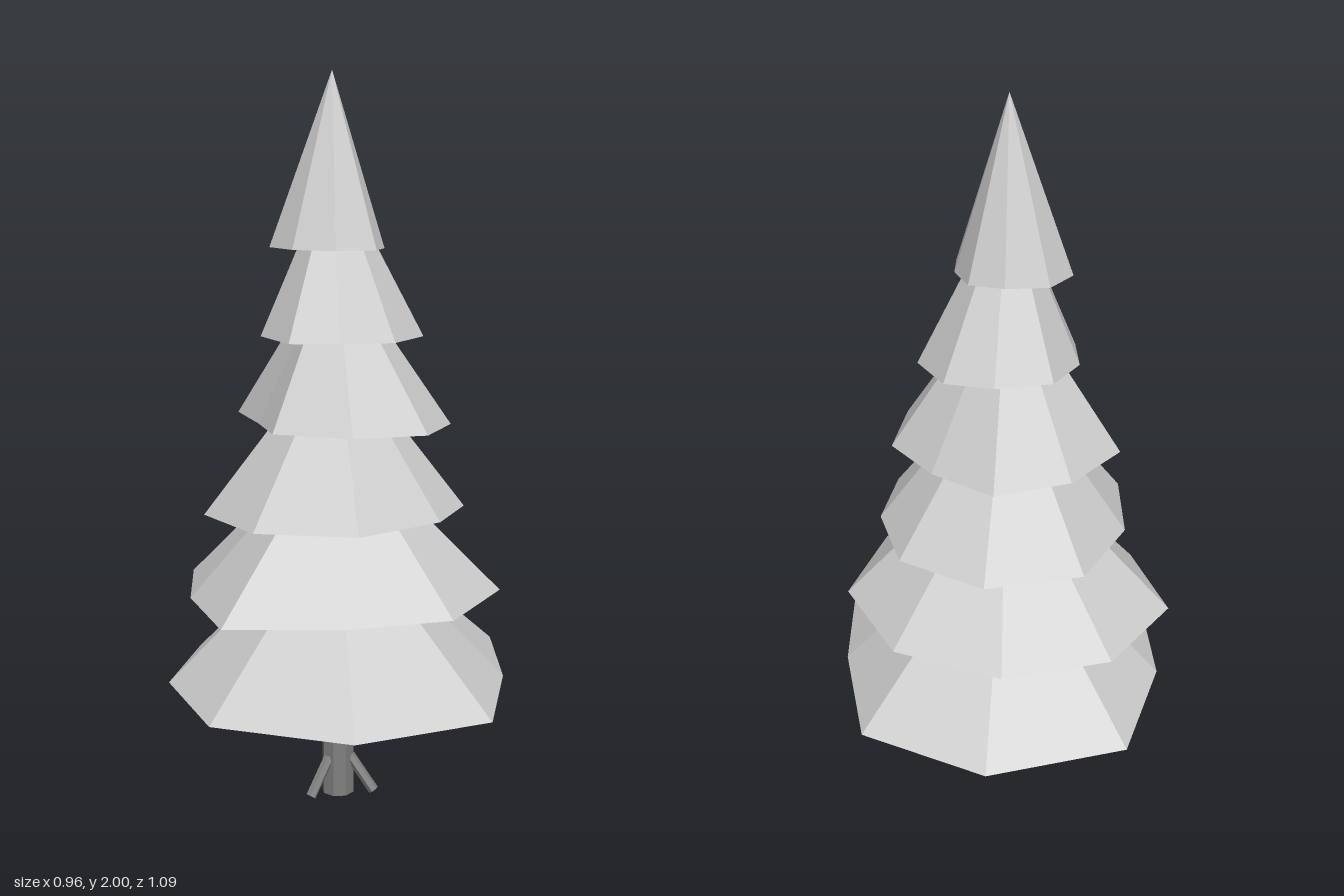
import * as THREE from 'three';

// Each tier: base height, base tilt along x and z, and its irregular nine-sided outline
// as [x, z], starting at the back and going round by the left side.
const TIERS = [
  { y: 0.365, tilt: [0, 0.015], rim: [[0, -0.545], [0.35, -0.405], [0.447, -0.065], [0.48, 0.295], [0.187, 0.54], [-0.193, 0.53], [-0.42, 0.255], [-0.46, -0.07], [-0.37, -0.415]] },
  { y: 0.6, tilt: [0.015, 0], rim: [[-0.035, -0.446], [0.262, -0.353], [0.43, -0.08], [0.363, 0.228], [0.13, 0.36], [-0.193, 0.44], [-0.377, 0.194], [-0.48, -0.08], [-0.32, -0.345]] },
  { y: 0.838, tilt: [0.02, 0.008], rim: [[0.015, -0.385], [0.248, -0.273], [0.33, -0.055], [0.31, 0.16], [0.15, 0.37], [-0.124, 0.384], [-0.33, 0.2], [-0.348, -0.057], [-0.24, -0.3]] },
  { y: 1.072, tilt: [-0.01, 0.01], rim: [[-0.005, -0.316], [0.165, -0.206], [0.29, -0.057], [0.274, 0.154], [0.107, 0.275], [-0.107, 0.275], [-0.2, 0.12], [-0.325, -0.06], [-0.2, -0.235]] },
  { y: 1.31, tilt: [-0.02, -0.04], rim: [[0, -0.21], [0.132, -0.18], [0.216, -0.037], [0.175, 0.11], [0.045, 0.185], [-0.08, 0.22], [-0.195, 0.11], [-0.21, -0.04], [-0.147, -0.172]] },
  { y: 1.545, tilt: [-0.02, -0.03], rim: [[-0.02, -0.117], [0.075, -0.09], [0.12, 0.015], [0.125, 0.115], [0.037, 0.185], [-0.08, 0.185], [-0.167, 0.113], [-0.187, -0.008], [-0.132, -0.105]] },
];
const TIER_HEIGHT = 0.455;
const TRUNK = { x: -0.01, z: 0.01, radius: 0.046 };

// Faceted cone over an irregular rim, closed underneath
function tierGeometry({ y, tilt, rim }, apexX, apexZ) {
  const apex = [apexX, y + TIER_HEIGHT, apexZ];
  const base = [apexX, y, apexZ];
  const ring = rim.map(([x, z]) => [x, y + tilt[0] * x + tilt[1] * z, z]);
  const positions = [];
  ring.forEach((p, i) => {
    const next = ring[(i + 1) % ring.length];
    positions.push(...apex, ...next, ...p, ...base, ...p, ...next);
  });
  const geometry = new THREE.BufferGeometry();
  geometry.setAttribute('position', new THREE.Float32BufferAttribute(positions, 3));
  geometry.computeVertexNormals();
  return geometry;
}

// Straight rod between two points
function rod(from, to, radius, sides, material) {
  const dir = to.clone().sub(from);
  const mesh = new THREE.Mesh(new THREE.CylinderGeometry(radius, radius, dir.length(), sides), material);
  mesh.position.copy(from).add(to).multiplyScalar(0.5);
  mesh.quaternion.setFromUnitVectors(new THREE.Vector3(0, 1, 0), dir.normalize());
  return mesh;
}

export function createModel() {
  const group = new THREE.Group();
  group.name = 'coniferTree';

  const foliage = new THREE.MeshStandardMaterial({ color: 0xcccccc, flatShading: true });
  foliage.name = 'foliageGrey';
  const bark = new THREE.MeshStandardMaterial({ color: 0x808080, flatShading: true });
  bark.name = 'barkGrey';

  // Overlapping foliage tiers, the tip leaning slightly
  TIERS.forEach((tier, i) => {
    const t = i / (TIERS.length - 1);
    const mesh = new THREE.Mesh(tierGeometry(tier, -0.01 - 0.01 * t, 0.01 + 0.017 * t), foliage);
    mesh.name = `foliageTier${i + 1}`;
    group.add(mesh);
  });

  // Trunk
  const trunk = new THREE.Mesh(new THREE.CylinderGeometry(TRUNK.radius, TRUNK.radius, 0.5, 8), bark);
  trunk.position.set(TRUNK.x, 0.25, TRUNK.z);
  trunk.name = 'trunk';
  group.add(trunk);

  // Three splayed roots
  for (let i = 0; i < 3; i++) {
    const a = (i * Math.PI * 2) / 3;
    const at = (r, y) => new THREE.Vector3(TRUNK.x + r * Math.cos(a), y, TRUNK.z + r * Math.sin(a));
    const root = rod(at(0.035, 0.11), at(0.105, 0.013), 0.015, 6, bark);
    root.name = `root${i + 1}`;
    group.add(root);
  }
  return group;
}
